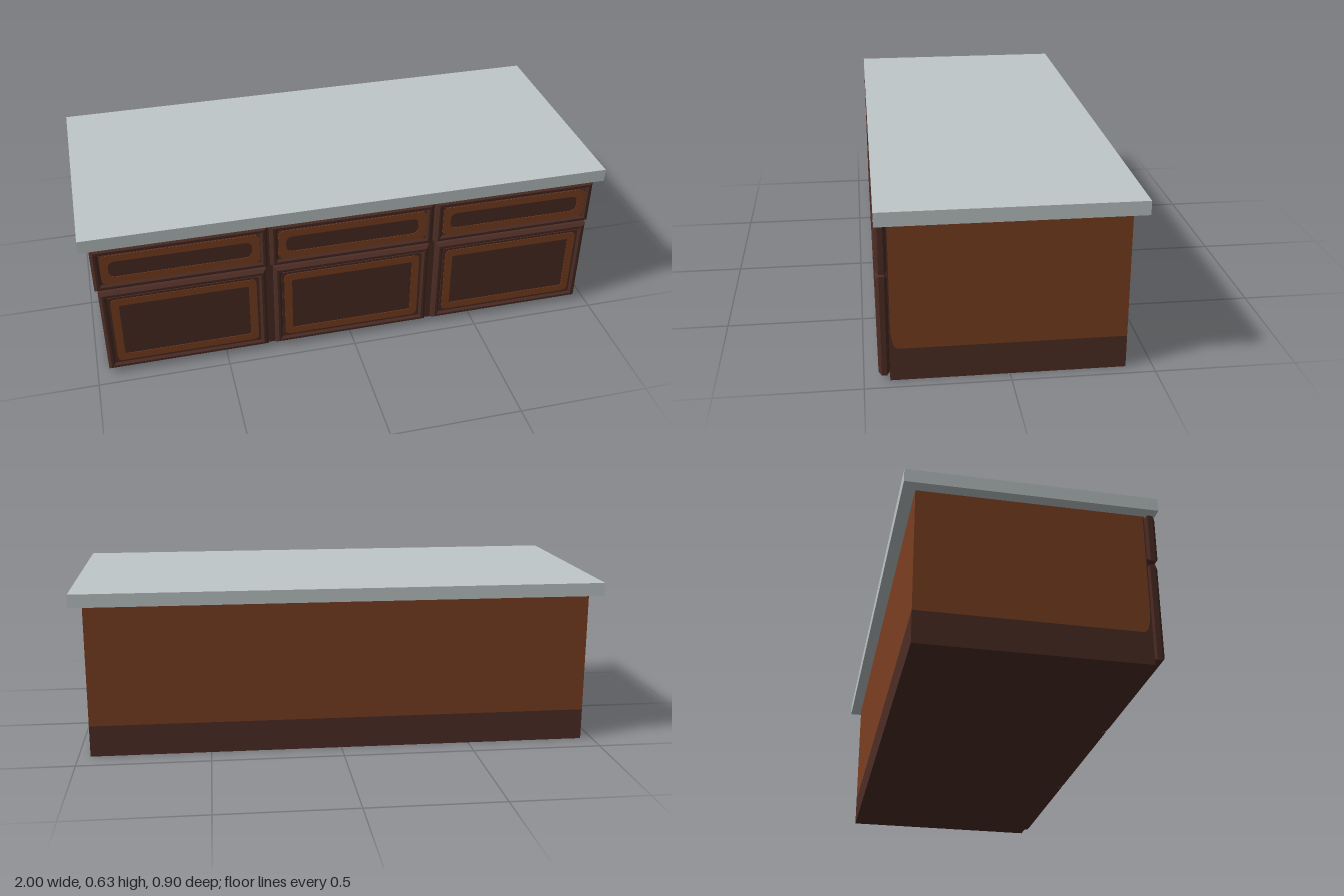
import * as THREE from 'three';

const lightWood = new THREE.MeshStandardMaterial({ color: 0x7c4022 });
lightWood.name = 'lightWood';
const darkWood = new THREE.MeshStandardMaterial({ color: 0x4d2d25 });
darkWood.name = 'darkWood';
const stone = new THREE.MeshStandardMaterial({ color: 0xbfc7c8 });
stone.name = 'stone';

function add(parent, name, geometry, material, x = 0, y = 0, z = 0) {
  const mesh = new THREE.Mesh(geometry, material);
  mesh.name = name;
  mesh.position.set(x, y, z);
  parent.add(mesh);
  return mesh;
}

// Centred rectangle with corners cut or rounded by r
function roundedPoints(w, h, r, steps) {
  const points = [];
  const corners = [[1, 1], [-1, 1], [-1, -1], [1, -1]];
  corners.forEach(([sx, sy], i) => {
    for (let k = 0; k <= steps; k++) {
      const a = (i + k / steps) * Math.PI / 2;
      points.push(new THREE.Vector2(
        sx * (w / 2 - r) + r * Math.cos(a),
        sy * (h / 2 - r) + r * Math.sin(a)));
    }
  });
  return points;
}

function rectPoints(w, h) {
  return [[1, 1], [-1, 1], [-1, -1], [1, -1]]
    .map(([sx, sy]) => new THREE.Vector2(sx * w / 2, sy * h / 2));
}

function frameShape(outer, inner) {
  const shape = new THREE.Shape(outer);
  shape.holes.push(new THREE.Path(inner));
  return shape;
}

// Chamfered frame, inset panel and a light inlaid band
function createFront(name, x0, x1, y0, y1, bandInset, bandWidth, innerRadius) {
  const group = new THREE.Group();
  group.name = name;
  const w = x1 - x0, h = y1 - y0;
  group.position.set((x0 + x1) / 2, (y0 + y1) / 2, 0.41);

  const frame = new THREE.ExtrudeGeometry(
    frameShape(rectPoints(w, h), rectPoints(w - 0.06, h - 0.06)),
    { depth: 0.018, bevelEnabled: true, bevelThickness: 0.011, bevelSize: 0.011,
      bevelOffset: -0.011, bevelSegments: 1 });
  add(group, 'frame', frame, darkWood, 0, 0, 0.011);
  add(group, 'panel', new THREE.BoxGeometry(w - 0.058, h - 0.058, 0.034), darkWood, 0, 0, 0.017);

  const bw = w - 2 * bandInset, bh = h - 2 * bandInset;
  const band = new THREE.ExtrudeGeometry(
    frameShape(roundedPoints(bw, bh, 0.018, 3),
      roundedPoints(bw - 2 * bandWidth, bh - 2 * bandWidth, innerRadius, 3)),
    { depth: 0.002, bevelEnabled: false });
  add(group, 'inlaidBand', band, lightWood, 0, 0, 0.034);
  return group;
}

// Side profile in z and y, extruded across the cabinet's width
function sideProfile(points, halfWidth) {
  const shape = new THREE.Shape(points.map(([z, y]) => new THREE.Vector2(-z, y)));
  const geometry = new THREE.ExtrudeGeometry(shape, { depth: halfWidth * 2, bevelEnabled: false });
  geometry.translate(0, 0, -halfWidth);
  geometry.rotateY(Math.PI / 2);
  return geometry;
}

export function createModel() {
  const model = new THREE.Group();
  model.name = 'kitchenIsland';

  // Cabinet body, split along the curve where the dark base meets the sides
  const curve = [[0.385, 0.12], [0.395, 0.13], [0.402, 0.15], [0.407, 0.19]];
  add(model, 'base', sideProfile(
    [[-0.405, 0], [0.407, 0], ...[...curve].reverse(), [-0.405, 0.12]], 0.955), darkWood);
  add(model, 'carcass', sideProfile(
    [[-0.405, 0.12], ...curve, [0.407, 0.585], [-0.405, 0.585]], 0.955), lightWood);
  add(model, 'faceFrame', new THREE.BoxGeometry(1.91, 0.585, 0.004), darkWood, 0, 0.2925, 0.409);

  // Three doors with a drawer above each
  const doors = [[-0.955, -0.335], [-0.305, 0.305], [0.335, 0.955]];
  const drawers = [[-0.965, -0.325], [-0.315, 0.315], [0.325, 0.96]];
  doors.forEach(([a, b], i) =>
    model.add(createFront('door' + (i + 1), a, b, 0.02, 0.39, 0.038, 0.03, 0.006)));
  drawers.forEach(([a, b], i) =>
    model.add(createFront('drawer' + (i + 1), a, b, 0.4, 0.585, 0.03, 0.029, 0.022)));

  // Worktop
  add(model, 'worktop', new THREE.BoxGeometry(2, 0.05, 0.9), stone, 0, 0.61, 0);
  return model;
}
